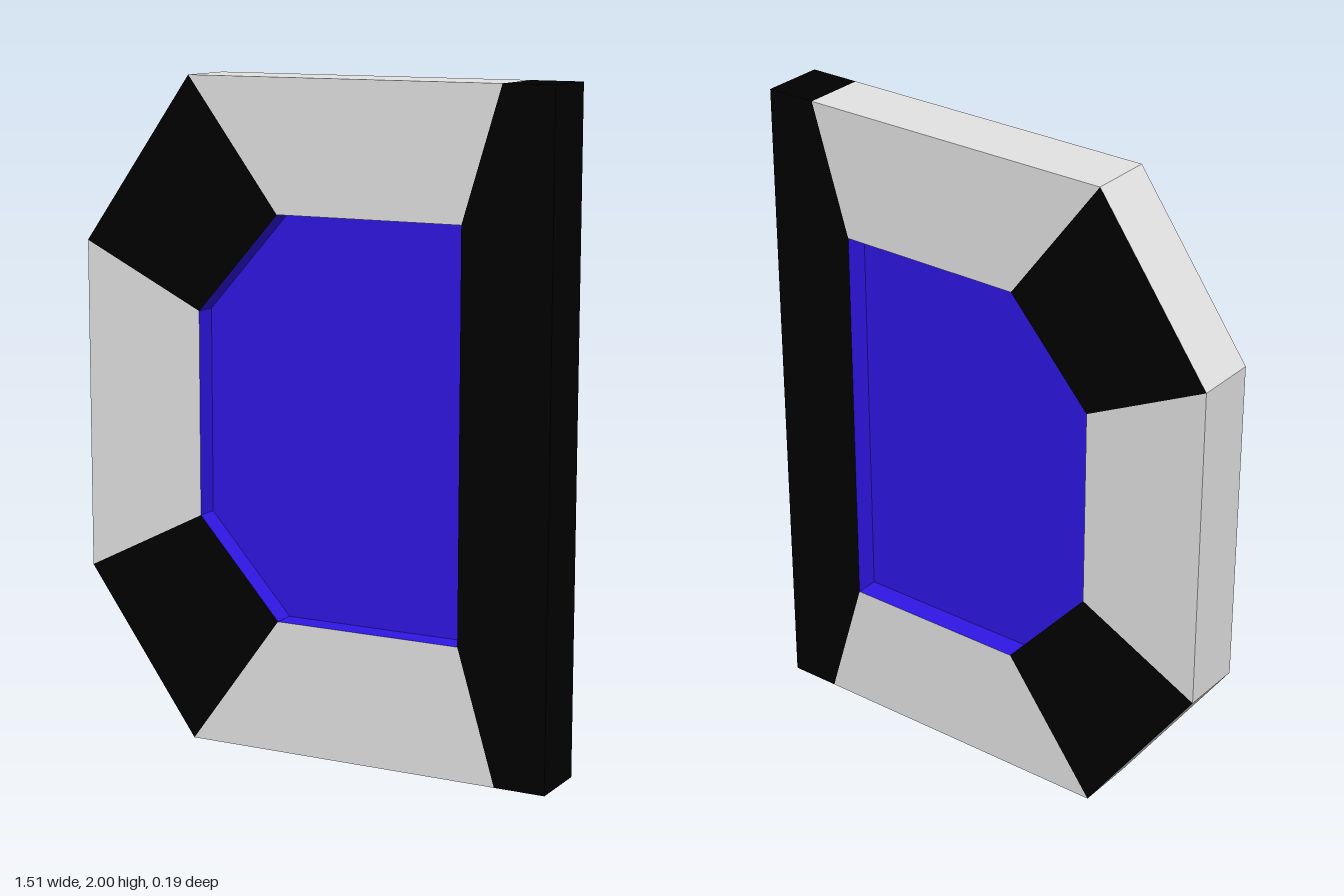
import * as THREE from 'three';

const HALF = 0.097; // half depth of the frame
const PANEL = 0.026; // half depth of the recessed panel

// Triangles from convex polygons, each a list of [x, y, z] corners in order
function faces(polygons) {
  const pos = [];
  for (const p of polygons)
    for (let i = 1; i < p.length - 1; i++) pos.push(...p[0], ...p[i], ...p[i + 1]);
  const g = new THREE.BufferGeometry();
  g.setAttribute('position', new THREE.Float32BufferAttribute(pos, 3));
  g.computeVertexNormals();
  return g;
}

// Front and back caps of a counter-clockwise outline
const caps = (pts, h) => [
  pts.map(([x, y]) => [x, y, h]),
  pts.map(([x, y]) => [x, y, -h]).reverse(),
];

// Side walls along a counter-clockwise chain, facing outward
const walls = (pts, z0, z1) => pts.slice(1).map((q, i) => {
  const p = pts[i];
  return [[...p, z0], [...q, z0], [...q, z1], [...p, z1]];
});

export function createModel() {
  const black = new THREE.MeshStandardMaterial({ name: 'black', color: 0x000000 });
  const grey = new THREE.MeshStandardMaterial({ name: 'light grey', color: 0xe3e3e3 });
  const blue = new THREE.MeshStandardMaterial({ name: 'blue', color: 0x2f16e5 });

  const group = new THREE.Group();
  const add = (name, polygons, material) => {
    const mesh = new THREE.Mesh(faces(polygons), material);
    mesh.name = name;
    group.add(mesh);
  };

  // Outlines, counter-clockwise from the upper right
  const outer = [[0.6, 2], [-0.4, 2], [-0.757, 1.5], [-0.757, 0.5], [-0.4, 0], [0.6, 0]];
  const inner = [[0.48, 1.607], [-0.107, 1.607], [-0.37, 1.31], [-0.37, 0.695], [-0.107, 0.4], [0.48, 0.4]];

  // Mitred frame pieces, alternating grey bars and black corners
  const names = ['topBar', 'upperCorner', 'sideBar', 'lowerCorner', 'bottomBar'];
  names.forEach((name, i) => {
    const edge = [outer[i], outer[i + 1]];
    add(name, caps([...edge, inner[i + 1], inner[i]], HALF), i % 2 ? black : grey);
    add(name + 'Edge', walls(edge, -HALF, HALF), grey);
  });

  // Straight black spine
  const spine = [outer[5], [0.757, 0], [0.757, 2], outer[0]];
  add('spine', [...caps([...spine, inner[0], inner[5]], HALF), ...walls(spine, -HALF, HALF)], black);

  // Recessed panel and the lining of the opening on both sides
  add('panel', caps(inner, PANEL), blue);
  const loop = [...inner, inner[0]].reverse();
  add('lining', [...walls(loop, PANEL, HALF), ...walls(loop, -HALF, -PANEL)], blue);

  return group;
}
